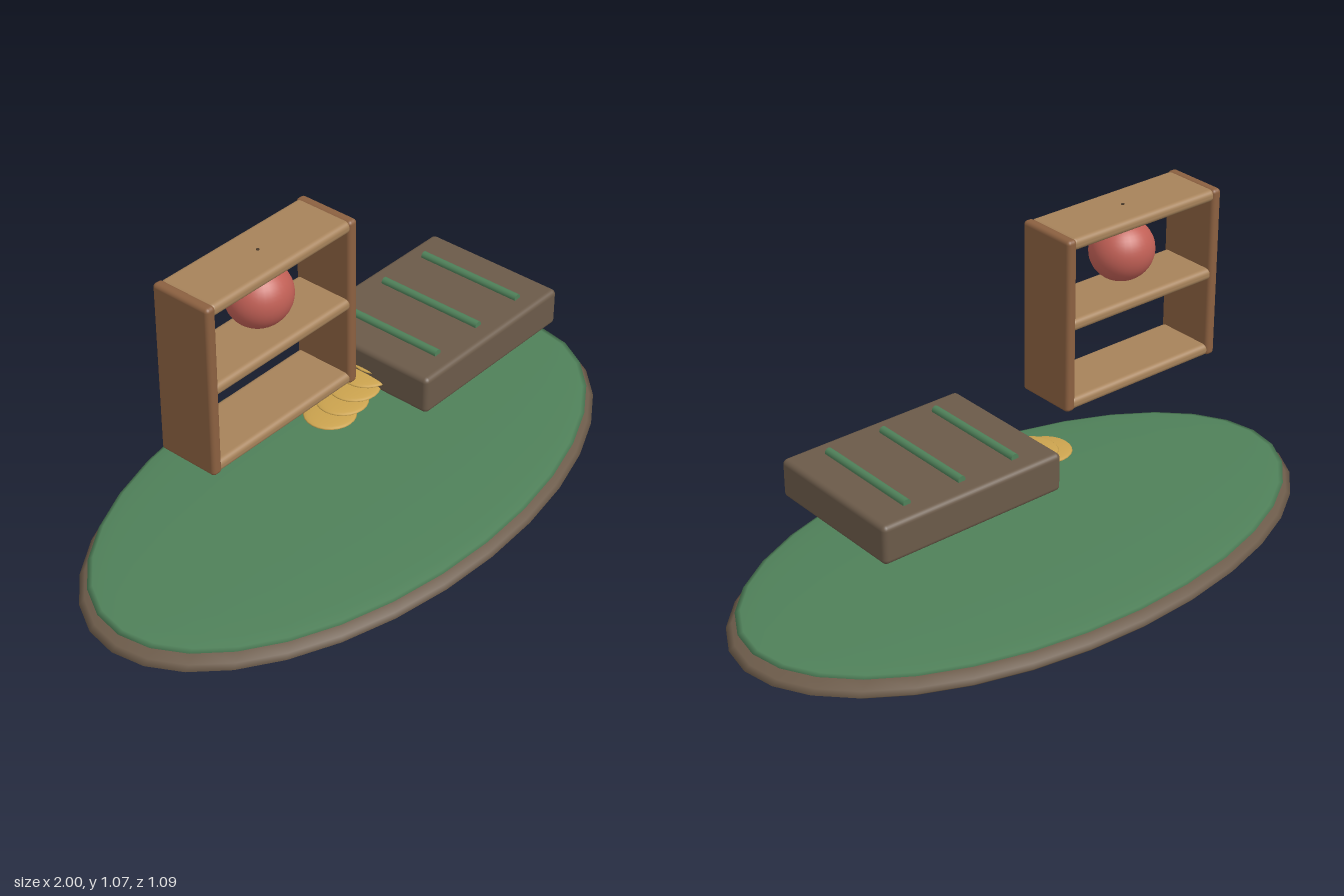
import * as THREE from 'three';
import { RoundedBoxGeometry } from 'three/addons/geometries/RoundedBoxGeometry.js';

const mat = (color) => new THREE.MeshStandardMaterial({ color });
const bark = mat(0x6b5a49), moss = mat(0x4f8059), panelWood = mat(0x8b6040);
const shelfWood = mat(0xa6825a), red = mat(0xc05f55), gold = mat(0xcaa24e), dark = mat(0x4a3a2a);

export function createModel() {
  const model = new THREE.Group();
  const add = (name, geometry, material, x, y, z = 0, parent = model) => {
    const mesh = new THREE.Mesh(geometry, material);
    mesh.name = name;
    mesh.position.set(x, y, z);
    parent.add(mesh);
    return mesh;
  };
  const ellipsoid = (rx, ry, rz, w = 32, h = 16) => new THREE.SphereGeometry(1, w, h).scale(rx, ry, rz);
  const box = (w, h, d, r) => new RoundedBoxGeometry(w, h, d, 3, r);
  const group = (name) => {
    const g = new THREE.Group();
    g.name = name;
    model.add(g);
    return g;
  };

  // Oval ground: earth lens with a thin grass lens on top
  add('groundBase', ellipsoid(1, 0.06, 0.545), bark, 0, 0.06);
  add('grassTop', ellipsoid(0.97, 0.02, 0.525), moss, 0, 0.104);

  // Floating open shelf: two side panels and three boards
  const shelf = group('shelf');
  for (const x of [-0.655, -0.098])
    add('sidePanel', box(0.034, 0.544, 0.2, 0.012), panelWood, x, 0.798, 0, shelf);
  for (const y of [0.545, 0.798, 1.051])
    add('shelfBoard', box(0.55, 0.037, 0.195, 0.016), shelfWood, -0.3765, y, 0, shelf);

  // Ball hanging by a short cord from the top board
  add('hangingBall', ellipsoid(0.101, 0.094, 0.094, 32, 24), red, -0.373, 0.929, 0, shelf);
  add('cord', new THREE.CylinderGeometry(0.005, 0.005, 0.06, 8), dark, -0.373, 1.042, 0, shelf);

  // Slab with three raised strips
  const slab = group('slab');
  add('slabBody', box(0.625, 0.122, 0.482, 0.016), bark, 0.372, 0.45, 0, slab);
  const rod = new THREE.CylinderGeometry(0.013, 0.013, 0.364, 12).rotateX(Math.PI / 2);
  for (const x of [0.182, 0.372, 0.562]) add('strip', rod, moss, x, 0.515, 0, slab);

  // Stepped row of flat discs climbing to the slab
  const discs = group('discSteps');
  for (let i = 0; i < 5; i++)
    add('disc', ellipsoid(0.079, 0.01, 0.079, 24, 12), gold, -0.087 + i * 0.054, 0.36 + i * 0.02, 0, discs);

  return model;
}
